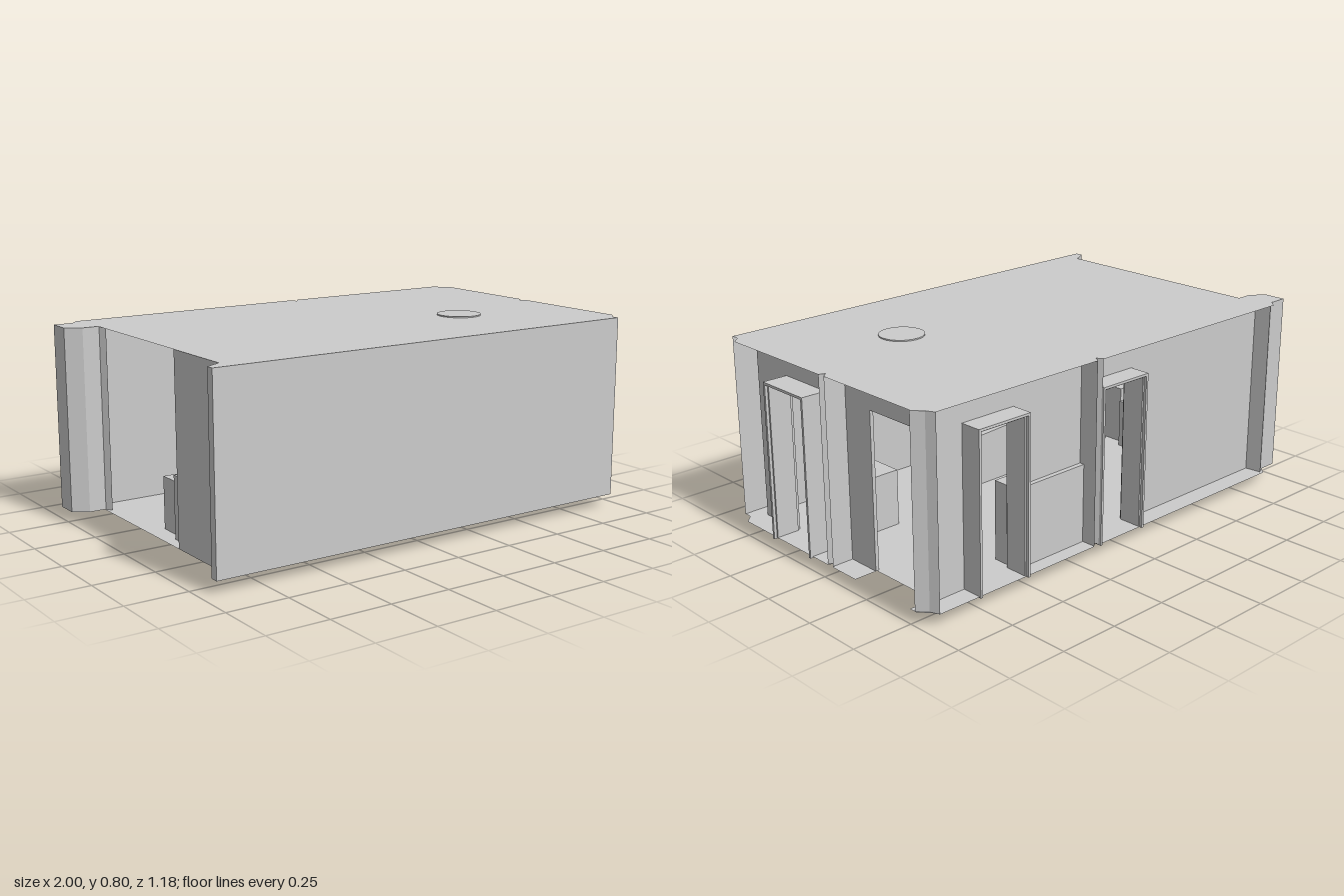
import * as THREE from 'three';

const FLOOR = 0.05, ROOF = 0.795;

export function createModel() {
  const room = new THREE.Group();
  room.name = 'room';
  const mat = new THREE.MeshStandardMaterial({ color: 0xcccccc, flatShading: true, side: THREE.DoubleSide });
  const oneSided = new THREE.MeshStandardMaterial({ color: 0xcccccc, flatShading: true });
  const smooth = new THREE.MeshStandardMaterial({ color: 0xcccccc, side: THREE.DoubleSide });

  const add = (name, geometry, material = mat) => {
    const mesh = new THREE.Mesh(geometry, material);
    mesh.name = name;
    room.add(mesh);
    return mesh;
  };
  // box given by its minimum and maximum corners
  const box = (name, x0, x1, y0, y1, z0, z1) => {
    const mesh = add(name, new THREE.BoxGeometry(x1 - x0, y1 - y0, z1 - z0));
    mesh.position.set((x0 + x1) / 2, (y0 + y1) / 2, (z0 + z1) / 2);
  };
  const shapeOf = (points) => new THREE.Shape(points.map(([a, b]) => new THREE.Vector2(a, b)));
  const planShape = (plan) => shapeOf(plan.map(([x, z]) => [x, -z]));
  // upright column from a plan outline of [x, z] points
  const column = (name, plan) => {
    const g = new THREE.ExtrudeGeometry(planShape(plan), { depth: ROOF - FLOOR, bevelEnabled: false });
    add(name, g.rotateX(-Math.PI / 2).translate(0, FLOOR, 0));
  };
  // upright sheet between two plan points, its face on the right when walking from a to b
  const sheet = (name, [ax, az], [bx, bz], material) => {
    const mesh = add(name, new THREE.PlaneGeometry(Math.hypot(bx - ax, bz - az), ROOF - FLOOR), material);
    mesh.position.set((ax + bx) / 2, (ROOF + FLOOR) / 2, (az + bz) / 2);
    mesh.rotation.y = Math.atan2(az - bz, bx - ax);
  };
  // upright panel: drawn in (z, y) for the side wall, (x, y) for the back wall
  const panel = (name, side, points, outer, depth) => {
    const g = new THREE.ExtrudeGeometry(shapeOf(points), { depth, bevelEnabled: false });
    if (side) g.rotateY(-Math.PI / 2).translate(outer, 0, 0);
    else g.translate(0, 0, outer);
    add(name, g);
  };

  // roof and floor sheets share one notched outline; the floor is cut back at the wide opening
  const outline = (opening) => [
    [-0.94, 0.588], [0.955, 0.588], [0.955, 0.555], [0.99, 0.52], [0.99, -0.01], [0.955, -0.025],
    [0.99, -0.04], ...opening, [0.99, -0.52], [0.955, -0.56], [0.94, -0.588], [0.165, -0.588],
    [0.15, -0.555], [0.13, -0.588], [-0.89, -0.588], [-0.92, -0.555], [-1, -0.555], [-1, -0.46],
    [-0.94, -0.42], [-0.875, -0.42], [-0.875, 0.52], [-0.94, 0.555],
  ];
  const floorCut = [[0.99, -0.175], [0.89, -0.175], [0.89, -0.485], [0.99, -0.485]];
  for (const [name, y, cut] of [['floor', FLOOR, floorCut], ['roof', ROOF, []]]) {
    add(name, new THREE.ShapeGeometry(planShape(outline(cut))).rotateX(-Math.PI / 2).translate(0, y, 0));
  }

  // hollow front wall: outer and inner skins, closed at the open end
  sheet('frontWall', [-0.94, 0.588], [0.955, 0.588], mat);
  sheet('frontWallInside', [0.89, 0.52], [-0.875, 0.52], mat);
  sheet('frontWallEnd', [-0.94, 0.555], [-0.94, 0.588], oneSided);
  sheet('frontWallEnd', [-0.875, 0.52], [-0.94, 0.555], oneSided);

  // recessed side wall with a doorway and a wide opening
  panel('sideWall', true, [
    [0.52, FLOOR], [0.52, ROOF], [-0.51, ROOF], [-0.51, FLOOR], [-0.485, FLOOR], [-0.485, 0.68],
    [-0.175, 0.68], [-0.175, FLOOR], [0.095, FLOOR], [0.095, 0.68], [0.32, 0.68], [0.32, FLOOR],
  ], 0.895, 0.015);

  // recessed back wall with two doorways
  panel('backWall', false, [
    [-0.9, FLOOR], [-0.1, FLOOR], [-0.1, 0.68], [0.12, 0.68], [0.12, FLOOR], [0.52, FLOOR],
    [0.52, 0.68], [0.745, 0.68], [0.745, FLOOR], [0.895, FLOOR], [0.895, ROOF], [-0.9, ROOF],
  ], -0.505, 0.015);

  // deep stepped door frames, standing proud of the walls
  const doorFrame = (side, start, outer) => {
    for (const [inset, w, face, depth] of [[0, 0.01, 0, 0.115], [0.008, 0.009, 0.012, 0.095]]) {
      const a = start + inset, b = start + 0.245 - inset, top = 0.685 - inset;
      panel('doorFrame', side, [
        [a, 0.045], [a + w, 0.045], [a + w, top - w], [b - w, top - w],
        [b - w, 0.045], [b, 0.045], [b, top], [a, top],
      ], outer + (side ? -face : face), depth);
    }
  };
  doorFrame(true, 0.085, 1);
  doorFrame(false, 0.51, -0.593);
  doorFrame(false, -0.11, -0.593);

  // corner columns and narrow wall posts
  column('backCornerColumn', [[0.88, -0.495], [0.92, -0.555], [0.94, -0.588], [0.955, -0.55], [0.99, -0.512]]);
  column('endColumn', [
    [-0.875, -0.49], [-0.885, -0.575], [-0.92, -0.555], [-1, -0.555], [-1, -0.46],
    [-0.94, -0.42], [-0.87, -0.42], [-0.855, -0.39], [-0.85, -0.49],
  ]);
  column('sidePost', [[0.885, 0], [0.985, -0.003], [0.96, -0.018], [0.985, -0.035], [0.885, -0.035]]);
  column('backPost', [[0.13, -0.495], [0.133, -0.585], [0.148, -0.56], [0.163, -0.585], [0.165, -0.495]]);

  // partial wall beside the open end
  box('endPartition', -0.875, -0.86, FLOOR, ROOF, 0.2, 0.52);

  // hanging ceiling fixtures
  for (const [x, z, r, bottom, top] of [[0.475, 0.155, 0.09, 0.66, 0.8], [-0.42, 0.02, 0.1, 0.53, 0.79]]) {
    add('ceilingFixture', new THREE.CylinderGeometry(r, r, top - bottom, 32), smooth)
      .position.set(x, (top + bottom) / 2, z);
  }

  // long tilted bench whose low end pokes through the floor
  const bench = shapeOf([[-0.7, 0.05], [0.105, 0], [0.12, 0.265], [-0.685, 0.31]]);
  add('tiltedBench', new THREE.ExtrudeGeometry(bench, { depth: 0.275, bevelEnabled: false })).position.z = 0.16;

  // furniture inside
  box('sideCounter', 0.57, 0.7, 0.044, 0.28, 0.09, 0.34);
  box('backCabinet', 0.165, 0.51, 0.045, 0.37, -0.525, -0.405);
  box('lowChest', 0.2, 0.38, FLOOR, 0.25, -0.41, -0.365);
  box('stool', 0.2, 0.4, 0.045, 0.27, 0.05, 0.14);
  box('endCrate', -0.8, -0.68, FLOOR, 0.26, -0.05, 0.06);
  box('endChest', -0.83, -0.72, FLOOR, 0.3, 0.09, 0.2);
  box('frontCabinet', -0.6, 0.1, FLOOR, 0.63, 0.47, 0.54);

  return room;
}
